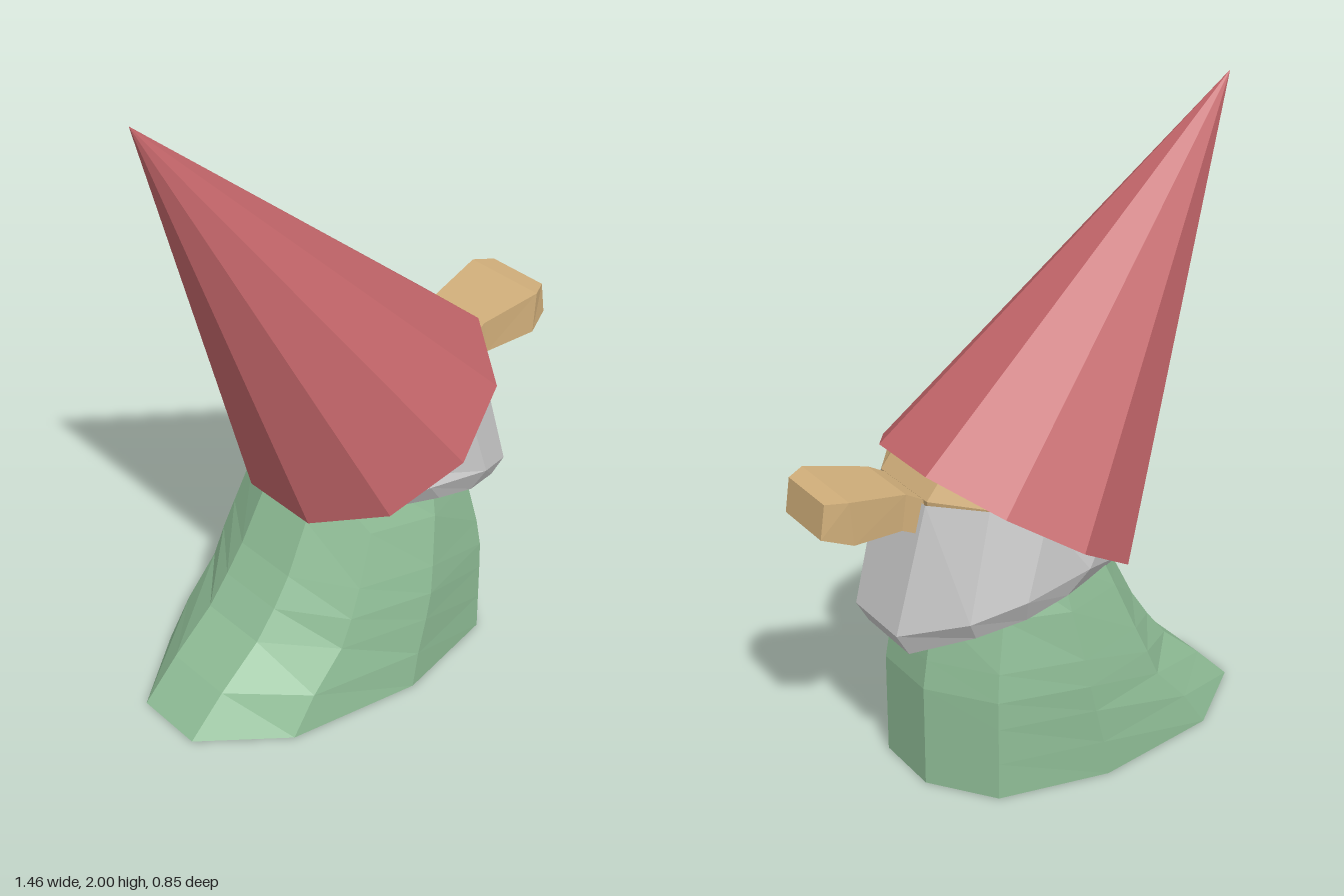
import * as THREE from 'three';

// Half a cross-section [x, y, z] running front to back, completed by mirroring in z
const mirrored = (half) => [
  ...half,
  ...half.slice().reverse().map(([x, y, z]) => [x, y, -z]),
];

// Faceted skin through a list of equal-length closed rings
function loft(name, rings, color, cap = false) {
  const pos = [];
  const tri = (...pts) => pts.forEach((p) => pos.push(...p));
  const n = rings[0].length;
  for (let i = 0; i < rings.length - 1; i++) {
    for (let j = 0; j < n; j++) {
      const k = (j + 1) % n;
      const a = rings[i][j], b = rings[i][k], c = rings[i + 1][k], d = rings[i + 1][j];
      tri(a, d, c);
      tri(a, c, b);
    }
  }
  if (cap) {
    const last = rings[rings.length - 1];
    for (let j = 1; j < n - 1; j++) tri(last[0], last[j + 1], last[j]);
  }
  const geo = new THREE.BufferGeometry();
  geo.setAttribute('position', new THREE.Float32BufferAttribute(pos, 3));
  geo.computeVertexNormals();
  const mesh = new THREE.Mesh(geo, new THREE.MeshStandardMaterial({
    color, flatShading: true, side: THREE.DoubleSide,
  }));
  mesh.name = name;
  return mesh;
}

export function createModel() {
  const group = new THREE.Group();
  group.name = 'gnome';
  const skin = 0xd0ae7a;

  // Robe: open below, trailing backwards; each level is y, half width, x of the five columns
  const zRatio = [0.3, 0.81, 1, 0.81, 0.3];
  const levels = [
    [0, 0.375, [0.42, 0.28, -0.07, -0.49, -0.73]],
    [0.12, 0.375, [0.42, 0.28, -0.05, -0.41, -0.61]],
    [0.24, 0.375, [0.42, 0.28, -0.02, -0.3, -0.47]],
    [0.33, 0.373, [0.42, 0.28, 0, -0.26, -0.4]],
    [0.42, 0.362, [0.405, 0.27, 0.015, -0.22, -0.34]],
    [0.58, 0.335, [0.375, 0.24, 0.045, -0.155, -0.26]],
    [0.72, 0.3, [0.32, 0.2, 0.06, -0.1, -0.2]],
  ];
  group.add(loft('robe', levels.map(([y, w, xs]) =>
    mirrored(xs.map((x, i) => [x, y, w * zRatio[i]]))), 0x8fbd96, true));

  // Beard: underside, lower lip, rim and top edge
  group.add(loft('beard', [
    [[0.33, 0.6, 0.11], [0.22, 0.62, 0.27], [0.1, 0.64, 0.3], [0, 0.66, 0.3], [-0.2, 0.66, 0.17]],
    [[0.47, 0.47, 0.12], [0.34, 0.56, 0.28], [0.2, 0.6, 0.33], [0.06, 0.64, 0.335], [-0.2, 0.64, 0.22]],
    [[0.51, 0.54, 0.12], [0.37, 0.62, 0.3], [0.22, 0.68, 0.37], [0, 0.72, 0.36], [-0.2, 0.655, 0.24]],
    [[0.41, 0.94, 0.13], [0.29, 0.95, 0.28], [0.15, 0.92, 0.36], [-0.05, 0.78, 0.34], [-0.2, 0.67, 0.2]],
  ].map(mirrored), 0xcccccc));

  // Head: the strip of face between beard and hat
  group.add(loft('head', [
    [[0.4, 0.92, 0.13], [0.285, 0.92, 0.28], [0.1, 0.9, 0.33], [-0.1, 0.8, 0.2]],
    [[0.405, 0.95, 0.13], [0.29, 0.955, 0.28], [0.1, 0.95, 0.33], [-0.1, 0.9, 0.2]],
    [[0.35, 1.02, 0.13], [0.24, 1.02, 0.26], [0.08, 1.02, 0.3], [-0.1, 1.0, 0.18]],
  ].map(mirrored), skin, true));

  // Nose: sections of bottom x/y, top x/y and half width
  group.add(loft('nose', [
    [0.37, 0.82, 0.37, 0.93, 0.11],
    [0.475, 0.87, 0.46, 0.98, 0.11],
    [0.645, 0.885, 0.655, 1.02, 0.14],
    [0.73, 0.91, 0.715, 1.015, 0.105],
  ].map(([bx, by, tx, ty, z]) => [[tx, ty, z], [tx, ty, -z], [bx, by, -z], [bx, by, z]]), skin, true));

  // Hat: ten-sided leaning cone on a tilted rim
  const rim = mirrored([18, 54, 90, 126, 162].map((deg) => {
    const a = THREE.MathUtils.degToRad(deg), r = 0.425;
    return [0.065 + 0.849 * r * Math.cos(a), 0.815 + 0.529 * r * Math.cos(a), r * Math.sin(a)];
  }));
  group.add(loft('hat', [rim, rim.map(() => [-0.73, 2, 0])], 0xc4666a));

  return group;
}
